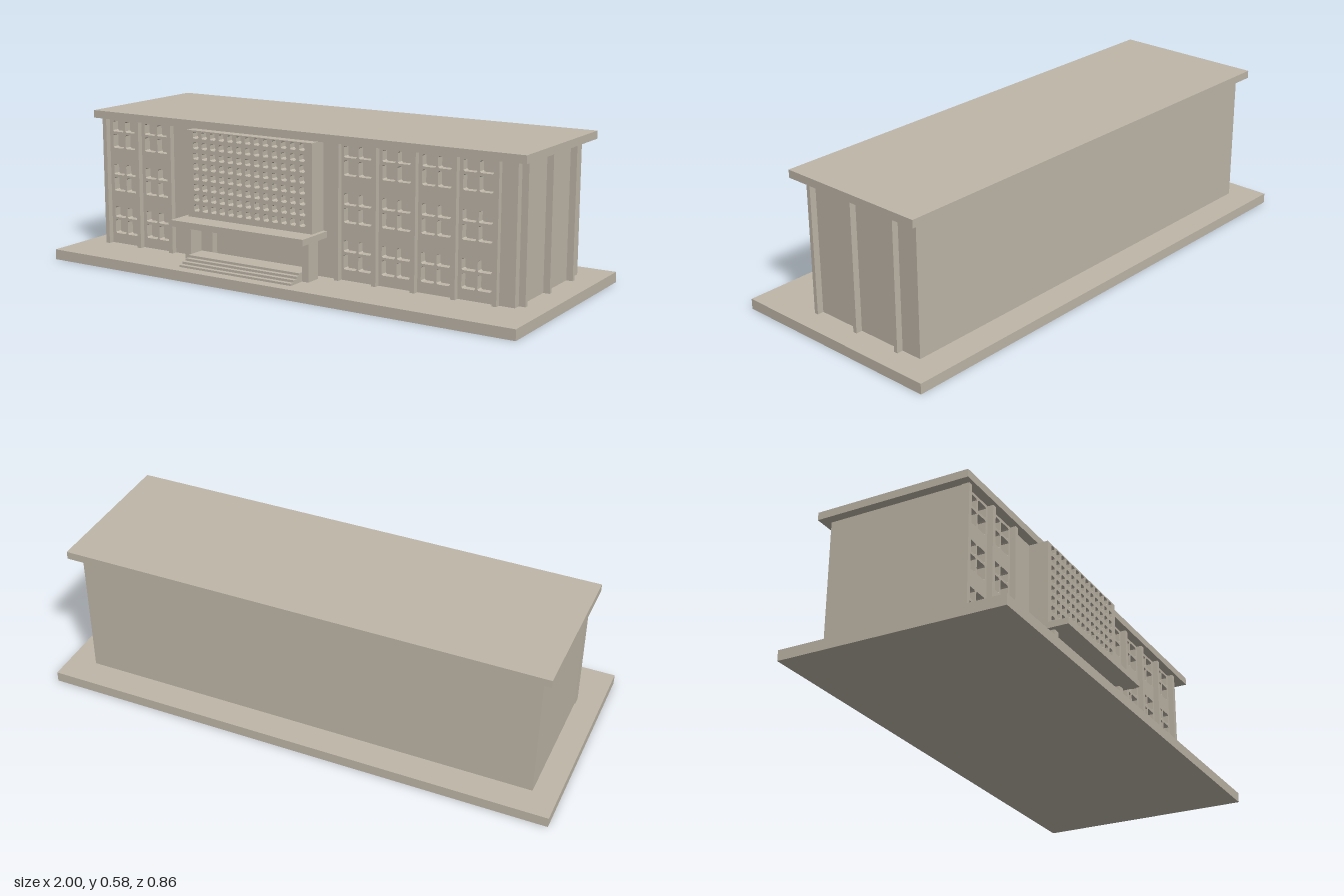
import * as THREE from 'three';

const stone = new THREE.MeshStandardMaterial({ color: 0xbeb6a8 });
stone.name = 'stone';

// Box given by its limits on each axis
function block(name, x0, x1, y0, y1, z0, z1) {
  const mesh = new THREE.Mesh(new THREE.BoxGeometry(x1 - x0, y1 - y0, z1 - z0), stone);
  mesh.position.set((x0 + x1) / 2, (y0 + y1) / 2, (z0 + z1) / 2);
  mesh.name = name;
  return mesh;
}

// Rectangle outline with clipped corners
function outline(x0, x1, y0, y1, c = 0, Type = THREE.Path) {
  const p = new Type();
  p.moveTo(x0 + c, y0);
  p.lineTo(x1 - c, y0);
  if (c) p.lineTo(x1, y0 + c);
  p.lineTo(x1, y1 - c);
  if (c) p.lineTo(x1 - c, y1);
  p.lineTo(x0 + c, y1);
  if (c) p.lineTo(x0, y1 - c);
  p.lineTo(x0, y0 + c);
  p.closePath();
  return p;
}

// Upright slab with openings
function pierced(name, x0, x1, y0, y1, z0, z1, holes) {
  const shape = outline(x0, x1, y0, y1, 0, THREE.Shape);
  shape.holes.push(...holes);
  const mesh = new THREE.Mesh(new THREE.ExtrudeGeometry(shape, { depth: z1 - z0, bevelEnabled: false }), stone);
  mesh.position.z = z0;
  mesh.name = name;
  return mesh;
}

export function createModel() {
  const g = new THREE.Group();
  g.name = 'building';

  // Plinth, main volume and overhanging roof
  g.add(block('plinth', -1, 1, 0, 0.04, -0.432, 0.432));
  g.add(block('body', -0.905, 0.892, 0.04, 0.548, -0.32, 0.183));
  g.add(block('roof', -0.94, 0.937, 0.548, 0.578, -0.353, 0.248));

  // Front wall: divided windows on three floors, and the doorway
  const holes = [outline(-0.39, 0.062, 0.045, 0.188)];
  for (const cx of [-0.816, -0.655, 0.264, 0.424, 0.584, 0.744]) {
    for (const y of [0.08, 0.254, 0.428]) {
      for (const x of [cx - 0.058, cx + 0.004]) {
        holes.push(outline(x, x + 0.054, y, y + 0.056, 0.005));
        holes.push(outline(x, x + 0.054, y + 0.066, y + 0.109, 0.005));
      }
    }
  }
  g.add(pierced('frontWall', -0.905, 0.892, 0.04, 0.548, 0.183, 0.213, holes));

  // Pilasters on the front and on the left side
  for (const x of [-0.899, -0.737, -0.577, 0.187, 0.344, 0.503, 0.663, 0.823]) {
    g.add(block('frontPilaster', x - 0.009, x + 0.009, 0.04, 0.548, 0.205, 0.235));
  }
  for (const z of [0.175, -0.026, -0.228]) {
    g.add(block('sidePilaster', 0.88, 0.917, 0.04, 0.548, z - 0.008, z + 0.008));
  }

  // Projecting screen with a grid of small openings
  const cells = [];
  for (let i = 0; i < 13; i++) {
    for (let j = 0; j < 8; j++) {
      const x = -0.404 + i * 0.04;
      const y = 0.25 + j * 0.04;
      cells.push(outline(x - 0.013, x + 0.013, y - 0.013, y + 0.013, 0.005));
    }
  }
  g.add(block('screenBacking', -0.444, 0.118, 0.2, 0.548, 0.21, 0.258));
  g.add(pierced('screen', -0.444, 0.118, 0.2, 0.548, 0.258, 0.288, cells));

  // Entrance canopy on two piers, with steps between them
  g.add(block('canopy', -0.462, 0.135, 0.19, 0.214, 0.213, 0.375));
  g.add(block('pier', -0.444, -0.416, 0.04, 0.19, 0.248, 0.313));
  g.add(block('pier', 0.09, 0.118, 0.04, 0.19, 0.248, 0.313));
  const tops = [0.075, 0.066, 0.057, 0.048];
  tops.forEach((top, i) => {
    const front = 0.313 + i * 0.0183;
    g.add(block('step', -0.416, 0.09, 0.04, top, i ? front - 0.0003 : 0.248, front + 0.018));
  });

  return g;
}
